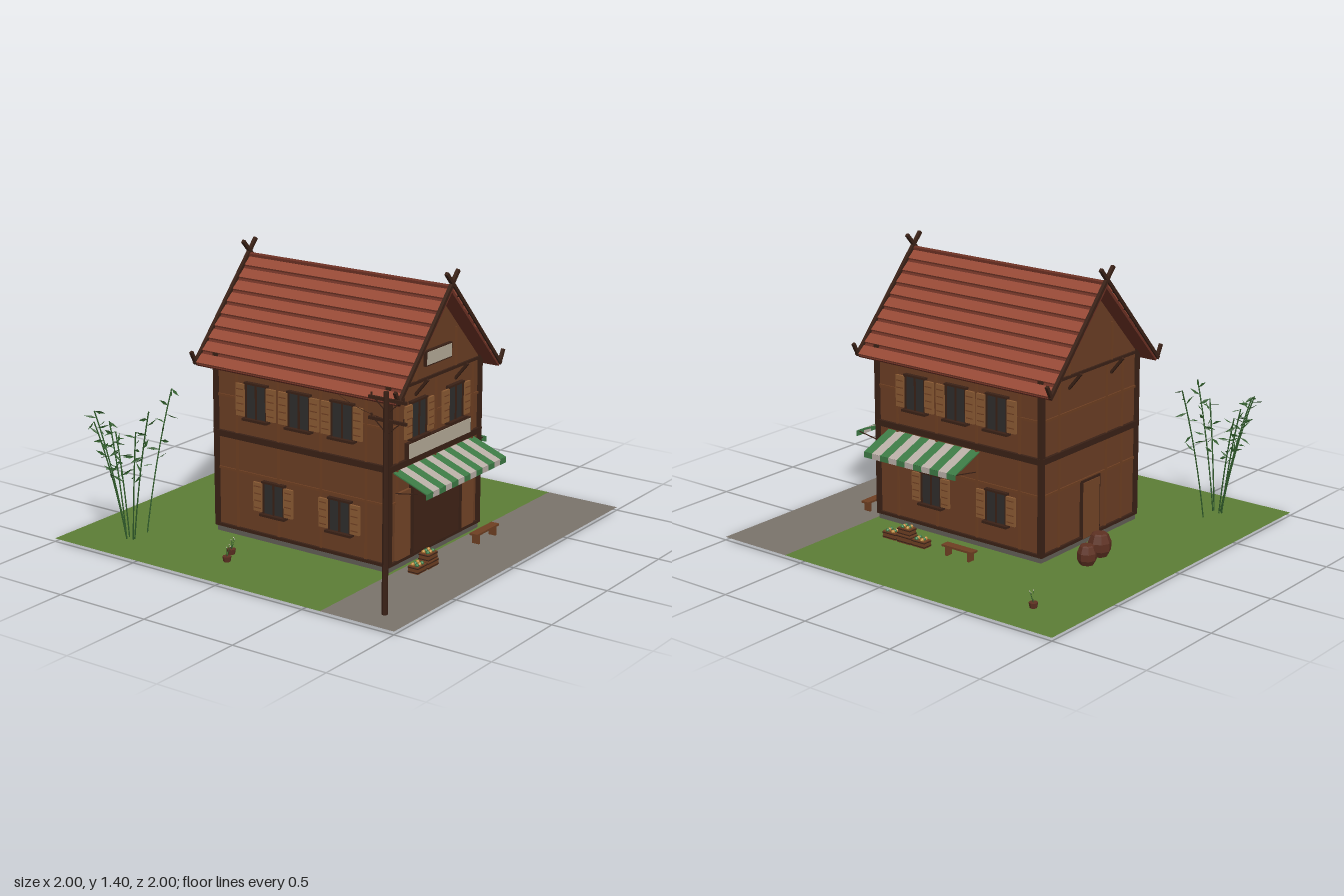
import * as THREE from 'three';

const C = { wall: 0x6b3e24, panel: 0x744527, beam: 0x3a2116, dark: 0x402317, roof: 0x984a36, roofDark: 0x6b3023,
  shutter: 0x8a5a33, glass: 0x2f2d2c, sign: 0xb5ac98, green: 0x3d7a45, white: 0xb9aea6, stone: 0x625e56,
  grass: 0x5c7d35, road: 0x7a736b, leaf: 0x2f5a2a, crate: 0x6e3f22, clay: 0x5e3122, lamp: 0xc08a3a };
const mats = {};
const mat = (c) => (mats[c] ??= new THREE.MeshStandardMaterial({ color: C[c], flatShading: true, side: THREE.DoubleSide }));

function add(parent, name, geo, c, x = 0, y = 0, z = 0) {
  const m = new THREE.Mesh(geo, mat(c));
  m.name = name;
  m.position.set(x, y, z);
  parent.add(m);
  return m;
}
const box = (p, name, c, w, h, d, x, y, z) => add(p, name, new THREE.BoxGeometry(w, h, d), c, x, y, z);
function group(parent, name, x = 0, y = 0, z = 0, ry = 0) {
  const g = new THREE.Group();
  g.name = name;
  g.position.set(x, y, z);
  g.rotation.y = ry;
  parent.add(g);
  return g;
}
// Straight bar between two points; square when sides = 4
function bar(p, name, c, a, b, r, sides = 4) {
  const A = new THREE.Vector3(...a), B = new THREE.Vector3(...b), d = B.clone().sub(A);
  const geo = new THREE.CylinderGeometry(r, r, d.length(), sides);
  if (sides === 4) geo.rotateY(Math.PI / 4);
  const m = add(p, name, geo, c);
  m.position.copy(A.add(B).multiplyScalar(0.5));
  m.quaternion.setFromUnitVectors(new THREE.Vector3(0, 1, 0), d.normalize());
  return m;
}

// Window with frame, mullion and two slatted shutters; wall faces local +z
function windowUnit(wall, x, y, w = 0.12, h = 0.175) {
  const g = group(wall, 'window', x, y, 0);
  box(g, 'glass', 'glass', w, h, 0.012, 0, 0, 0.006);
  box(g, 'mullion', 'beam', 0.008, h, 0.018, 0, 0, 0.009);
  box(g, 'lintel', 'beam', w + 0.015, 0.01, 0.022, 0, h / 2, 0.011);
  box(g, 'sill', 'beam', w + 0.03, 0.012, 0.035, 0, -h / 2 - 0.004, 0.016);
  for (const s of [-1, 1]) {
    box(g, 'jamb', 'beam', 0.008, h, 0.018, s * w / 2, 0, 0.009);
    box(g, 'shutter', 'shutter', 0.053, h - 0.015, 0.012, s * (w / 2 + 0.031), 0, 0.016);
    for (let i = 0; i < 4; i++) box(g, 'shutterSlat', 'crate', 0.04, 0.005, 0.004, s * (w / 2 + 0.031), -0.054 + i * 0.036, 0.023);
  }
}

// Striped sloping awning with valance and end struts
function awning(wall, x, len, n) {
  const g = group(wall, 'awning', x, 0, 0), w = len / n, slope = Math.atan2(0.07, 0.185);
  for (let i = 0; i < n; i++) {
    const c = i % 2 ? 'white' : 'green', px = -len / 2 + w * (i + 0.5);
    box(g, 'awningStripe', c, w, 0.006, 0.198, px, 0.475, 0.0925).rotation.x = slope;
    box(g, 'valance', c, w, 0.027, 0.005, px, 0.428, 0.184);
  }
  for (const s of [-1, 1]) bar(g, 'awningStrut', 'beam', [s * (len / 2 - 0.02), 0.405, 0], [s * (len / 2 - 0.02), 0.435, 0.183], 0.003);
}

// Timber frame on one wall: posts, rails, middle studs
function timber(wall, half, studs) {
  box(wall, 'middleBeam', 'beam', half * 2 + 0.02, 0.03, 0.024, 0, 0.538, 0.004);
  box(wall, 'bottomBeam', 'beam', half * 2 + 0.02, 0.015, 0.02, 0, 0.066, 0.003);
  box(wall, 'topBeam', 'beam', half * 2, 0.014, 0.016, 0, 0.905, 0.002);
  for (const y of [0.36, 0.73]) box(wall, 'rail', 'crate', half * 2, 0.012, 0.01, 0, y, 0.002);
  for (const x of studs) box(wall, 'stud', 'crate', 0.012, 0.84, 0.012, x, 0.48, 0.002);
}

function crate(p, x, y, z, w, h, d, filled) {
  const g = group(p, 'crate', x, y, z);
  box(g, 'crateBox', 'crate', w, h, d, 0, h / 2, 0);
  for (const t of [0.2, 0.8]) box(g, 'crateSlat', 'beam', w + 0.004, h * 0.12, d + 0.004, 0, h * t, 0);
  if (filled) for (let i = 0; i < 6; i++)
    add(g, 'produce', new THREE.IcosahedronGeometry(0.011, 0), i % 2 ? 'green' : 'lamp', (i % 3 - 1) * w * 0.28, h + 0.004, (i < 3 ? -1 : 1) * d * 0.22);
}

function bench(p, x, z, ry, len) {
  const g = group(p, 'bench', x, 0.03, z, ry);
  box(g, 'benchSeat', 'crate', len, 0.01, 0.045, 0, 0.05, 0);
  for (const s of [-1, 1]) box(g, 'benchLeg', 'crate', 0.012, 0.046, 0.038, s * (len / 2 - 0.025), 0.023, 0);
}

// Narrow folded leaf growing along +y
function leafGeo(l, w) {
  const g = new THREE.BufferGeometry();
  g.setAttribute('position', new THREE.Float32BufferAttribute([0, 0, 0, w, l * 0.45, w * 0.4, 0, l, 0, -w, l * 0.45, w * 0.4], 3));
  g.setIndex([0, 1, 2, 0, 2, 3]);
  g.computeVertexNormals();
  return g;
}
function leaf(p, pos, dir, l, w) {
  const m = add(p, 'leaf', leafGeo(l, w), 'leaf', ...pos);
  m.quaternion.setFromUnitVectors(new THREE.Vector3(0, 1, 0), new THREE.Vector3(...dir).normalize());
}
// Bending cane with leaves near its tip
function cane(p, a, b, seed) {
  const A = new THREE.Vector3(...a), B = new THREE.Vector3(...b);
  const mid = A.clone().lerp(B, 0.5).add(new THREE.Vector3((A.x - B.x) * 0.12, 0.04, (A.z - B.z) * 0.12));
  const path = new THREE.QuadraticBezierCurve3(A, mid, B);
  add(p, 'cane', new THREE.TubeGeometry(path, 8, 0.0035, 5), 'leaf');
  for (let i = 0; i < 9; i++) {
    const q = path.getPoint(0.5 + i * 0.0625), t = i * 2.4 + seed;
    leaf(p, q.toArray(), [Math.cos(t), 0.7 - (i % 3) * 0.55, Math.sin(t)], 0.065, 0.008);
  }
}

export function createModel() {
  const root = new THREE.Group();
  root.name = 'timberShop';

  // Ground
  add(root, 'grass', new THREE.PlaneGeometry(2, 1.6).rotateX(-Math.PI / 2), 'grass', 0, 0.03, -0.2);
  add(root, 'road', new THREE.PlaneGeometry(2, 0.4).rotateX(-Math.PI / 2), 'road', 0, 0.03, 0.8);

  // House body with gables
  const house = group(root, 'house', -0.0525, 0, 0.075), hw = 0.3825, hd = 0.505;
  box(house, 'stoneBase', 'stone', hw * 2 + 0.01, 0.029, hd * 2 + 0.01, 0, 0.0455, 0);
  const outline = new THREE.Shape([[-hw, 0.06], [hw, 0.06], [hw, 0.905], [0, 1.305], [-hw, 0.905]].map((p) => new THREE.Vector2(...p)));
  add(house, 'walls', new THREE.ExtrudeGeometry(outline, { depth: hd * 2, bevelEnabled: false }).translate(0, 0, -hd), 'wall');
  for (const x of [-hw, hw]) for (const z of [-hd, hd]) box(house, 'cornerPost', 'beam', 0.026, 0.875, 0.026, x, 0.4975, z);

  const front = group(house, 'frontWall', 0, 0, hd), back = group(house, 'backWall', 0, 0, -hd, Math.PI);
  const right = group(house, 'leftSideWall', hw, 0, 0, Math.PI / 2), left = group(house, 'rightSideWall', -hw, 0, 0, -Math.PI / 2);
  timber(front, hw, [-0.32, 0, 0.32]);
  timber(back, hw, [-0.25, 0.13, 0.26]);
  for (const w of [right, left]) timber(w, hd, [-0.38, -0.13, 0.12, 0.38]);

  // Gable timbers and overhang braces
  for (const w of [front, back]) {
    for (const x of [-0.17, 0.17]) {
      bar(w, 'overhangBrace', 'beam', [x, 0.845, 0], [x, 0.93, 0.07], 0.009);
      box(w, 'gableStud', 'crate', 0.012, 0.2, 0.01, x, 1.0, 0.002);
    }
  }

  // Shopfront
  box(front, 'shopOpening', 'dark', 0.41, 0.36, 0.012, 0, 0.25, 0.006);
  for (const s of [-1, 1]) {
    box(front, 'openingPost', 'beam', 0.012, 0.36, 0.022, s * 0.208, 0.25, 0.01);
    box(front, 'sidePanel', 'panel', 0.11, 0.33, 0.014, s * 0.275, 0.24, 0.007);
    windowUnit(front, s * 0.157, 0.735);
  }
  box(front, 'signFrame', 'beam', 0.54, 0.08, 0.02, 0, 0.597, 0.02);
  box(front, 'signBoard', 'sign', 0.525, 0.07, 0.024, 0, 0.597, 0.022);
  box(front, 'gableSignFrame', 'beam', 0.22, 0.075, 0.016, 0, 1.006, 0.012);
  box(front, 'gableSign', 'sign', 0.205, 0.062, 0.02, 0, 1.006, 0.013);
  awning(front, 0, 0.69, 13);
  awning(right, -0.1525, 0.575, 11);
  box(front, 'lantern', 'lamp', 0.02, 0.026, 0.02, 0, 0.412, 0.07);

  // Side windows and back door
  for (const w of [right, left]) for (const x of [-0.255, 0, 0.25]) windowUnit(w, x, 0.73);
  for (const x of [-0.16, 0.245]) windowUnit(right, x, 0.258, 0.12, 0.16);
  for (const x of [-0.155, 0.235]) windowUnit(left, x, 0.258, 0.12, 0.16);
  box(back, 'doorFrame', 'beam', 0.15, 0.3, 0.014, 0, 0.21, 0.006);
  box(back, 'door', 'panel', 0.13, 0.285, 0.022, 0, 0.205, 0.006);

  // Roof: two slopes of overlapping tile courses with crossed bargeboards
  const run = 0.435, rise = 0.46, len = Math.hypot(run, rise), rows = 9, step = len / rows;
  for (const ry of [0, Math.PI]) {
    const side = group(house, 'roofSide', 0, 0, -0.002, ry);
    const slope = group(side, 'roofSlope', run / 2, 1.335 - rise / 2, 0);
    slope.rotation.z = -Math.atan2(rise, run);
    box(slope, 'roofSlab', 'roofDark', len, 0.014, 1.185, 0, -0.01, 0);
    for (let i = 0; i < rows; i++)
      box(slope, 'tileCourse', 'roof', step * 0.78, 0.012, 1.185, -len / 2 + step * (i + 0.55), 0, 0).rotation.z = 0.13;
    for (const z of [-0.593, 0.593]) {
      bar(side, 'bargeboard', 'beam', [-0.05, 1.41, z], [0.437, 0.875, z], 0.012);
      bar(side, 'bargeboardHook', 'beam', [0.428, 0.875, z], [0.462, 0.94, z], 0.011);
    }
  }
  bar(house, 'ridgeBeam', 'roofDark', [0, 1.335, -0.595], [0, 1.335, 0.59], 0.013, 6);

  // Crates, benches and barrels
  crate(root, -0.34, 0.03, 0.68, 0.075, 0.035, 0.055, true);
  crate(root, -0.25, 0.03, 0.68, 0.085, 0.035, 0.06, false);
  crate(root, -0.25, 0.066, 0.68, 0.075, 0.035, 0.055, true);
  crate(root, 0.505, 0.03, 0.35, 0.05, 0.035, 0.08, true);
  crate(root, 0.505, 0.03, 0.255, 0.055, 0.04, 0.085, false);
  crate(root, 0.505, 0.071, 0.255, 0.05, 0.035, 0.075, true);
  crate(root, 0.505, 0.03, 0.165, 0.05, 0.035, 0.08, true);
  bench(root, 0.215, 0.7, 0, 0.2);
  bench(root, 0.512, -0.08, Math.PI / 2, 0.185);
  const barrel = [[0, 0], [0.04, 0], [0.056, 0.03], [0.057, 0.07], [0.042, 0.108], [0.034, 0.114], [0, 0.114]].map((p) => new THREE.Vector2(...p));
  add(root, 'barrel', new THREE.LatheGeometry(barrel, 8), 'clay', 0.07, 0.03, -0.585);
  add(root, 'barrel', new THREE.LatheGeometry(barrel, 8), 'clay', 0.2, 0.03, -0.605).scale.setScalar(0.85);

  // Small flower pots
  for (const [x, z] of [[0.78, -0.73], [-0.755, -0.125], [-0.665, -0.17]]) {
    const g = group(root, 'flowerPot', x, 0.03, z);
    add(g, 'pot', new THREE.CylinderGeometry(0.022, 0.017, 0.028, 8), 'clay', 0, 0.012, 0);
    for (let i = 0; i < 5; i++) {
      const a = i * 1.257, c = Math.cos(a), s = Math.sin(a);
      leaf(g, [0, 0.02, 0], [c, -1.6, s], 0.042, 0.004);
      if (i < 3) {
        bar(g, 'flowerStem', 'leaf', [0, 0.02, 0], [c * 0.018, 0.075, s * 0.018], 0.001);
        add(g, 'flower', new THREE.OctahedronGeometry(0.004), 'white', c * 0.018, 0.077, s * 0.018);
      }
    }
  }

  // Leaning canes
  const canes = group(root, 'canes');
  [[[-0.79, -0.72], [-0.83, 0.66, -0.87]], [[-0.78, -0.73], [-0.77, 0.6, -0.83]], [[-0.8, -0.71], [-0.89, 0.63, -0.82]],
    [[-0.77, -0.72], [-0.76, 0.55, -0.8]], [[-0.78, -0.68], [-0.79, 0.7, -0.56]], [[-0.79, -0.68], [-0.83, 0.6, -0.61]],
    [[-0.675, -0.69], [-0.5, 0.73, -0.66]]].forEach(([a, b], i) => cane(canes, [a[0], 0.02, a[1]], b, i * 1.3));

  // Utility pole with cross arms and wire
  const pole = group(root, 'utilityPole', -0.86, 0, 0.855);
  add(pole, 'polePost', new THREE.CylinderGeometry(0.012, 0.015, 1.03, 8), 'beam', 0, 0.545, 0);
  for (const y of [0.925, 1.02]) {
    box(pole, 'crossArm', 'beam', 0.012, 0.014, 0.2, 0.012, y, 0);
    for (const s of [-1, 1]) {
      bar(pole, 'armBrace', 'beam', [0.01, y - 0.06, 0], [0.01, y, s * 0.07], 0.003);
      bar(pole, 'insulator', 'beam', [0.012, y, s * 0.085], [0.012, y + 0.022, s * 0.085], 0.004, 6);
    }
  }
  const wire = new THREE.QuadraticBezierCurve3(new THREE.Vector3(-0.85, 0.93, 0.9), new THREE.Vector3(-0.64, 0.85, 0.575), new THREE.Vector3(-0.435, 0.87, 0.25));
  add(root, 'wire', new THREE.TubeGeometry(wire, 12, 0.0012, 4), 'beam');
  return root;
}
